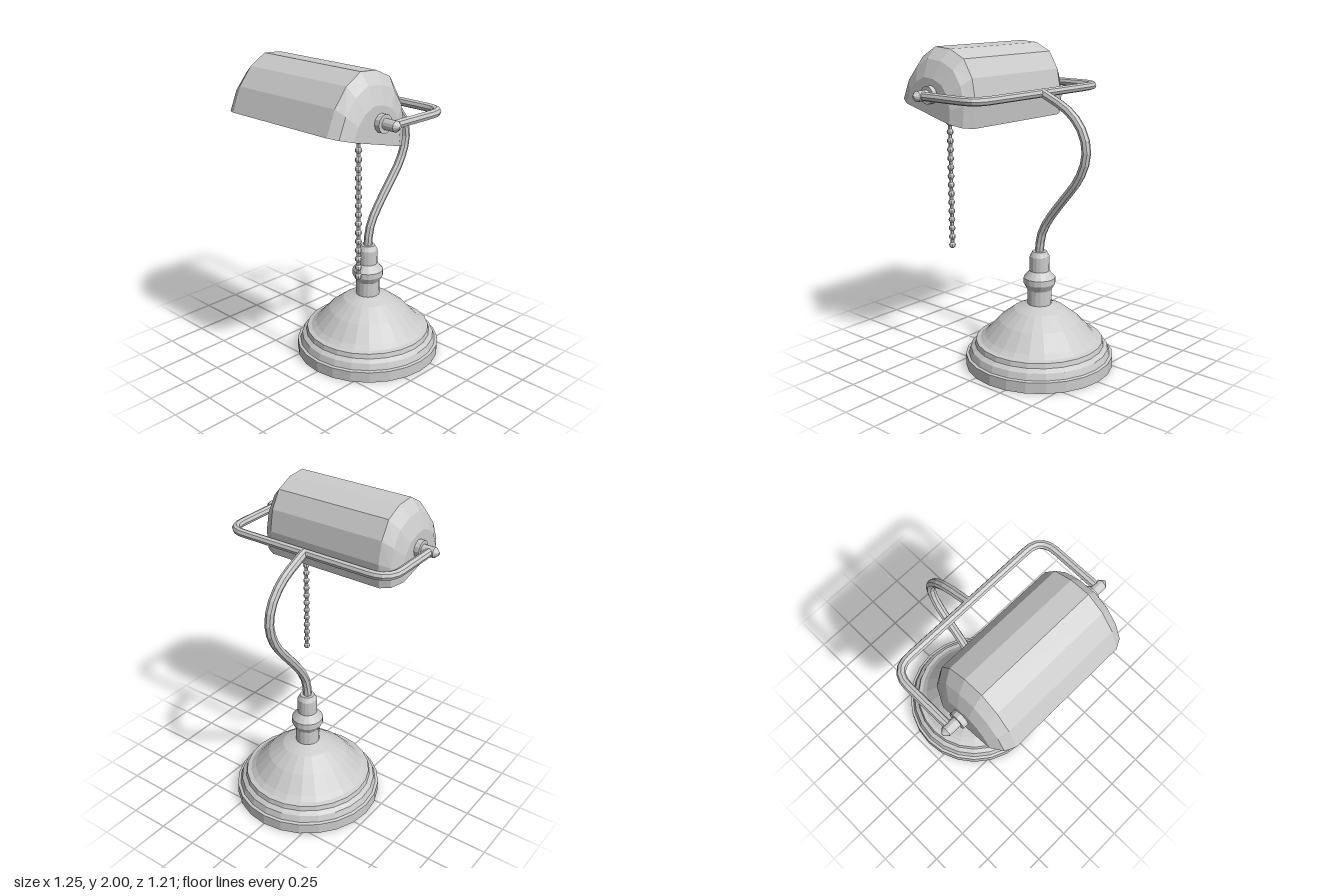
import * as THREE from 'three';

const metal = new THREE.MeshStandardMaterial({ color: 0xcccccc, flatShading: true, side: THREE.DoubleSide });

const V2 = (p) => p.map(([r, y]) => new THREE.Vector2(r, y));
const V3 = (p) => p.map((q) => new THREE.Vector3(...q));

function add(group, name, geometry, x = 0, y = 0, z = 0) {
  const mesh = new THREE.Mesh(geometry, metal);
  mesh.name = name;
  mesh.position.set(x, y, z);
  group.add(mesh);
  return mesh;
}

// Thin-walled shade: closed outer/inner outline lofted along x, rounded and closed at both ends
function shadeGeometry() {
  const arc = [[0.29, 0], [0.268, 0.155], [0.21, 0.28], [0.12, 0.368], [0, 0.39],
    [-0.12, 0.368], [-0.21, 0.28], [-0.268, 0.155], [-0.29, 0]];
  const half = [[0.39, 1, 1], [0.45, 0.89, 0.82], [0.49, 0.64, 0.55], [0.49, 0, 0]]; // x, depth and height scale
  const rows = [...half.map(([x, a, b]) => [-x, a, b]).reverse(), ...half];
  const positions = [], index = [];
  for (const [x, su, sv] of rows) {
    for (const [u, v] of arc) positions.push(x, v * sv, u * su);
    for (const [u, v] of [...arc].reverse()) positions.push(x * 0.97, v * sv * 0.96, u * su * 0.95);
  }
  const n = arc.length * 2;
  for (let r = 0; r < rows.length - 1; r++) {
    for (let j = 0; j < n; j++) {
      const k = (j + 1) % n;
      const a = r * n + j, b = a + n, c = r * n + k, d = c + n;
      index.push(a, b, c, c, b, d);
    }
  }
  const g = new THREE.BufferGeometry();
  g.setAttribute('position', new THREE.Float32BufferAttribute(positions, 3));
  g.setIndex(index);
  g.computeVertexNormals();
  return g;
}

export function createModel() {
  const lamp = new THREE.Group();
  lamp.name = 'deskLamp';
  const baseZ = -0.135, pivotY = 1.725, pivotZ = 0.292;

  // Stepped round base with a dome
  add(lamp, 'base', new THREE.LatheGeometry(V2([
    [0, 0], [0.468, 0], [0.468, 0.07], [0.45, 0.075], [0.437, 0.115], [0.41, 0.135],
    [0.403, 0.165], [0.375, 0.172], [0.345, 0.195], [0.255, 0.295], [0.16, 0.368], [0.08, 0.4], [0, 0.4],
  ]), 24), 0, 0, baseZ);

  // Turned collar
  add(lamp, 'collar', new THREE.LatheGeometry(V2([
    [0.077, 0.39], [0.077, 0.495], [0.1, 0.535], [0.1, 0.572], [0.062, 0.617], [0.062, 0.71], [0.045, 0.742], [0, 0.742],
  ]), 16), 0, 0, baseZ);

  // Curved stem
  const stem = new THREE.CatmullRomCurve3(V3([
    [0, 0.72, -0.133], [0, 0.83, -0.143], [0, 0.92, -0.182], [0, 1.03, -0.262], [0, 1.13, -0.345], [0, 1.225, -0.42],
    [0, 1.32, -0.467], [0, 1.4, -0.483], [0, 1.49, -0.467], [0, 1.57, -0.42], [0, 1.64, -0.34], [0, 1.685, -0.25], [0, 1.727, -0.148],
  ]));
  add(lamp, 'stem', new THREE.TubeGeometry(stem, 18, 0.028, 8, false));

  // Yoke: a cross bar with rounded corners and two forward arms
  const yoke = new THREE.CurvePath();
  const armX = 0.57, barZ = -0.148, bend = 0.12;
  const p = V3([
    [-armX, pivotY, pivotZ], [-armX, pivotY, barZ + bend], [-armX, pivotY, barZ], [-armX + bend, pivotY, barZ],
    [armX - bend, pivotY, barZ], [armX, pivotY, barZ], [armX, pivotY, barZ + bend], [armX, pivotY, pivotZ],
  ]);
  yoke.add(new THREE.LineCurve3(p[0], p[1]));
  yoke.add(new THREE.QuadraticBezierCurve3(p[1], p[2], p[3]));
  yoke.add(new THREE.LineCurve3(p[3], p[4]));
  yoke.add(new THREE.QuadraticBezierCurve3(p[4], p[5], p[6]));
  yoke.add(new THREE.LineCurve3(p[6], p[7]));
  add(lamp, 'yoke', new THREE.TubeGeometry(yoke, 48, 0.026, 8, false));

  // Pivot nuts and pointed knobs
  for (const side of [1, -1]) {
    const pivot = new THREE.LatheGeometry(V2([
      [0, 0.47], [0.054, 0.47], [0.054, 0.523], [0.032, 0.523], [0.032, 0.6], [0.008, 0.627], [0, 0.627],
    ]), 12);
    pivot.rotateZ(-side * Math.PI / 2);
    add(lamp, side > 0 ? 'leftPivot' : 'rightPivot', pivot, 0, pivotY, pivotZ);
  }

  // Tilted shade
  add(lamp, 'shade', shadeGeometry(), 0, 1.61, 0.323).rotation.x = -0.253;

  // Bulb and socket along the shade
  const bulb = new THREE.LatheGeometry(V2([
    [0, -0.14], [0.045, -0.12], [0.07, -0.06], [0.072, 0], [0.055, 0.09], [0.035, 0.16], [0.035, 0.2],
  ]), 14);
  bulb.rotateZ(-Math.PI / 2);
  add(lamp, 'bulb', bulb, 0.07, 1.75, pivotZ);
  const socket = new THREE.CylinderGeometry(0.045, 0.045, 0.24, 12);
  socket.rotateZ(Math.PI / 2);
  add(lamp, 'socket', socket, 0.37, 1.735, pivotZ);

  // Beaded pull chain
  const chain = new THREE.Group();
  chain.name = 'pullChain';
  chain.position.set(0.33, 0, 0.3);
  lamp.add(chain);
  const top = 1.72, bottom = 0.765, beads = 17;
  add(chain, 'chainCord', new THREE.CylinderGeometry(0.012, 0.012, top - bottom, 6), 0, (top + bottom) / 2, 0);
  const bead = new THREE.SphereGeometry(0.021, 8, 6);
  for (let i = 0; i <= beads; i++) add(chain, 'chainBead', bead, 0, bottom + 0.006 + (top - bottom - 0.02) * i / beads, 0);

  return lamp;
}
